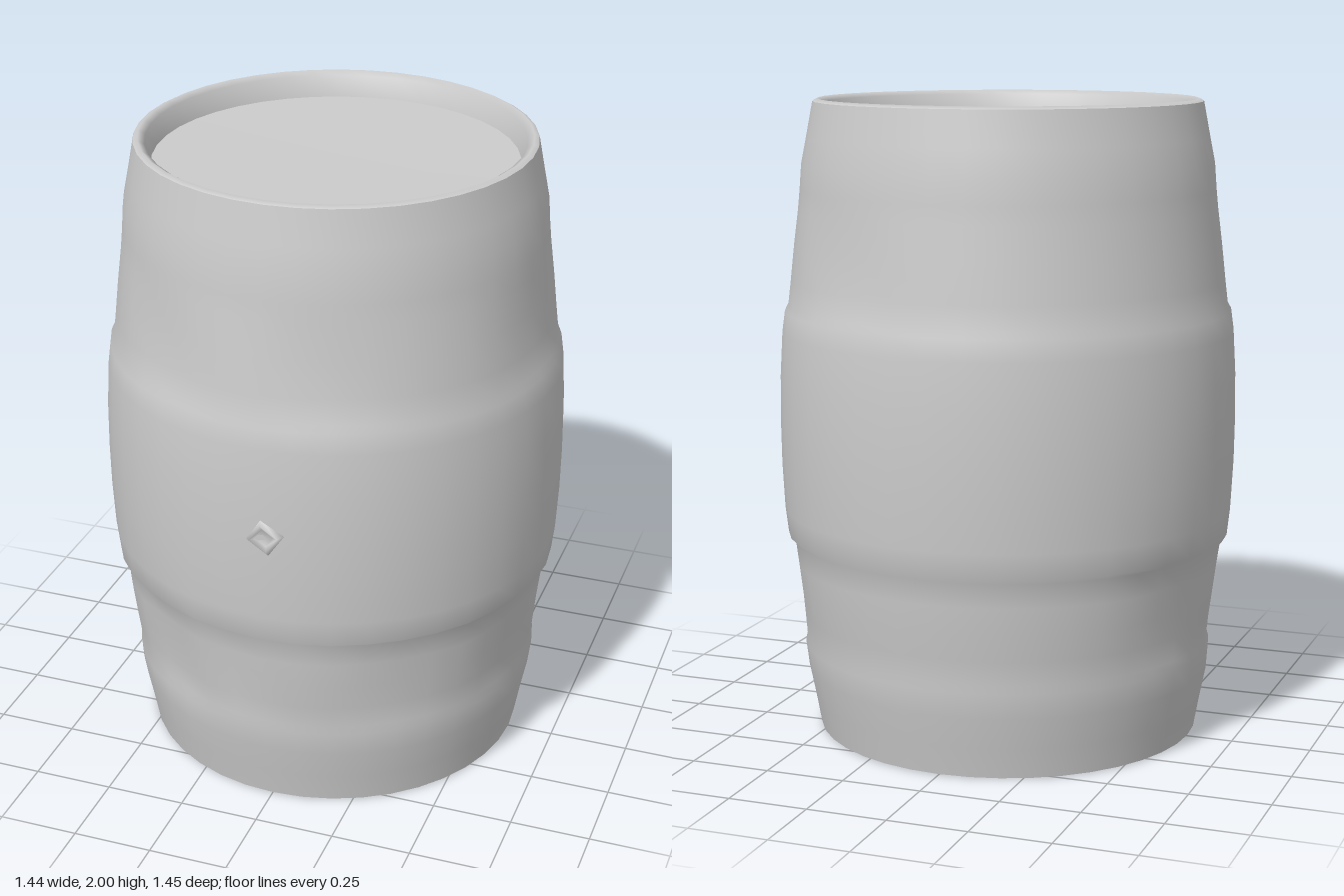
import * as THREE from 'three';
import { mergeVertices } from 'three/addons/utils/BufferGeometryUtils.js';

const material = new THREE.MeshStandardMaterial({ color: 0xcccccc });

// Spins a profile of [radius, height] points, then wears it by a rule
function turned(name, profile, segments, wear) {
  let geo = new THREE.LatheGeometry(profile.map(([r, y]) => new THREE.Vector2(r, y)), segments);
  if (wear) {
    const p = geo.attributes.position;
    for (let i = 0; i < p.count; i++) {
      const x = p.getX(i), y = p.getY(i), z = p.getZ(i);
      const k = 1 - wear(Math.atan2(x, z), y);
      p.setXYZ(i, x * k, y, z * k);
    }
  }
  // weld the seam so that shading runs smoothly all round
  geo.deleteAttribute('uv');
  geo.deleteAttribute('normal');
  geo = mergeVertices(geo, 1e-4);
  geo.computeVertexNormals();
  const mesh = new THREE.Mesh(geo, material);
  mesh.name = name;
  return mesh;
}

// Shallow dents between the hoops: angle, height, half width, half height, depth
const dents = [
  [-0.55, 0.46, 0.2, 0.17, 0.025],
  [-0.15, 0.5, 0.14, 0.14, 0.015],
  [0.65, 0.46, 0.25, 0.16, 0.015],
  [-1.25, 0.45, 0.22, 0.18, 0.02],
  [-1.95, 0.48, 0.22, 0.17, 0.02],
  [1.25, 0.46, 0.2, 0.17, 0.02],
  [1.9, 0.5, 0.25, 0.14, 0.015],
  [-0.5, 1.5, 0.2, 0.14, 0.015],
  [0.3, 1.5, 0.2, 0.14, 0.012],
  [1.4, 1.5, 0.25, 0.14, 0.015],
  [2.7, 1.52, 0.25, 0.14, 0.012],
];

function staveWear(angle, y) {
  let sum = 0;
  for (const [a, h, w, t, depth] of dents) {
    const da = Math.atan2(Math.sin(angle - a), Math.cos(angle - a)) / w;
    const dy = (y - h) / t;
    sum += depth * Math.exp(-(da ** 4) - dy ** 4);
  }
  return sum;
}

export function createModel() {
  const barrel = new THREE.Group();
  barrel.name = 'barrel';

  // Bulging side with a proud middle and low hoop edges
  barrel.add(turned('staves', [
    [0.605, 0.005], [0.622, 0.1], [0.642, 0.2], [0.652, 0.28], [0.647, 0.305],
    [0.658, 0.38], [0.669, 0.46], [0.68, 0.55], [0.686, 0.625],
    [0.704, 0.64], [0.71, 0.72], [0.717, 0.86], [0.719, 1], [0.717, 1.14],
    [0.709, 1.28], [0.7, 1.345], [0.689, 1.365],
    [0.68, 1.44], [0.668, 1.55], [0.654, 1.66], [0.648, 1.72], [0.642, 1.8],
    [0.626, 1.88], [0.605, 1.99],
  ], 40, staveWear));

  // Rims and sunken heads
  barrel.add(turned('topRim', [[0.605, 1.99], [0.59, 1.998], [0.57, 1.985], [0.553, 1.92]], 40));
  barrel.add(turned('topHead', [[0.553, 1.92], [0.3, 1.918], [0, 1.915]], 40));
  barrel.add(turned('bottomRim', [[0.553, 0.1], [0.575, 0.015], [0.59, 0.002], [0.605, 0.005]], 40));
  barrel.add(turned('bottomHead', [[0, 0.1], [0.553, 0.1]], 40));

  // Small four-sided bung hole on the front
  const bung = turned('bungHole', [[0.062, 0], [0.045, 0.018], [0.028, 0.006], [0, 0.004]], 4);
  bung.rotation.set(Math.PI / 2, 0.2, 0);
  bung.position.set(0.03, 1, 0.712);
  barrel.add(bung);

  return barrel;
}
